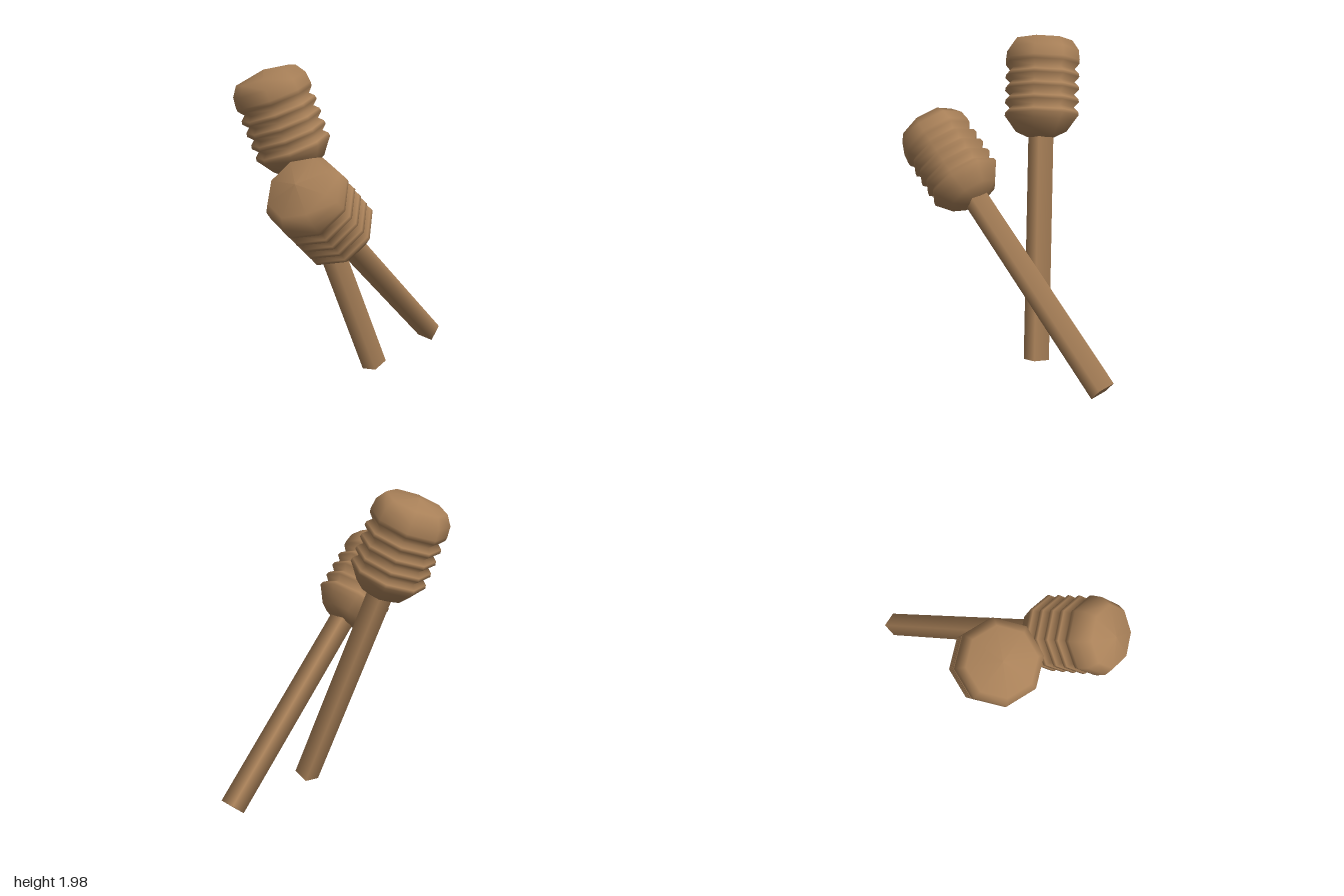
import * as THREE from 'three';

const wood = new THREE.MeshStandardMaterial({ color: 0xa88058 });
const deg = THREE.MathUtils.degToRad;

// Eight-sided grooved head: rounded bowl, stacked ridges, domed cap
function makeHead(spin) {
  const profile = [[0, 1.39], [0.09, 1.40], [0.165, 1.435], [0.212, 1.50]];
  for (let i = 0; i < 4; i++) {
    const s = 1.545 + i * 0.08;
    profile.push([0.24, s - 0.008], [0.236, s + 0.014], [0.208, s + 0.04]);
  }
  profile.push([0.238, 1.86], [0.24, 1.885], [0.232, 1.95], [0.19, 2.01], [0, 2.045]);
  const geometry = new THREE.LatheGeometry(profile.map(([r, y]) => new THREE.Vector2(r, y)), 8);
  geometry.rotateY(deg(spin));
  const head = new THREE.Mesh(geometry, wood);
  head.name = 'groovedHead';
  return head;
}

// Square stick with softened shading
function makeHandle() {
  const length = 1.46;
  const geometry = new THREE.CylinderGeometry(0.08, 0.08, length, 4);
  geometry.rotateY(deg(45 - 12));
  geometry.translate(0, length / 2, 0);
  const handle = new THREE.Mesh(geometry, wood);
  handle.name = 'handle';
  return handle;
}

// One dipper standing on its handle end, leaning along a direction
function makeDipper(name, base, direction, spin) {
  const dipper = new THREE.Group();
  dipper.name = name;
  dipper.add(makeHandle(), makeHead(spin));
  dipper.position.set(...base);
  dipper.quaternion.setFromUnitVectors(
    new THREE.Vector3(0, 1, 0), new THREE.Vector3(...direction).normalize());
  return dipper;
}

export function createModel() {
  const model = new THREE.Group();
  model.name = 'honeyDippers';
  model.add(
    makeDipper('uprightDipper', [0.245, 0.03, -0.2], [-0.281, 1, 0.226], 29.5),
    makeDipper('leaningDipper', [0.35, 0.09, -0.81], [-0.06, 0.915, 1.085], 36));
  return model;
}
